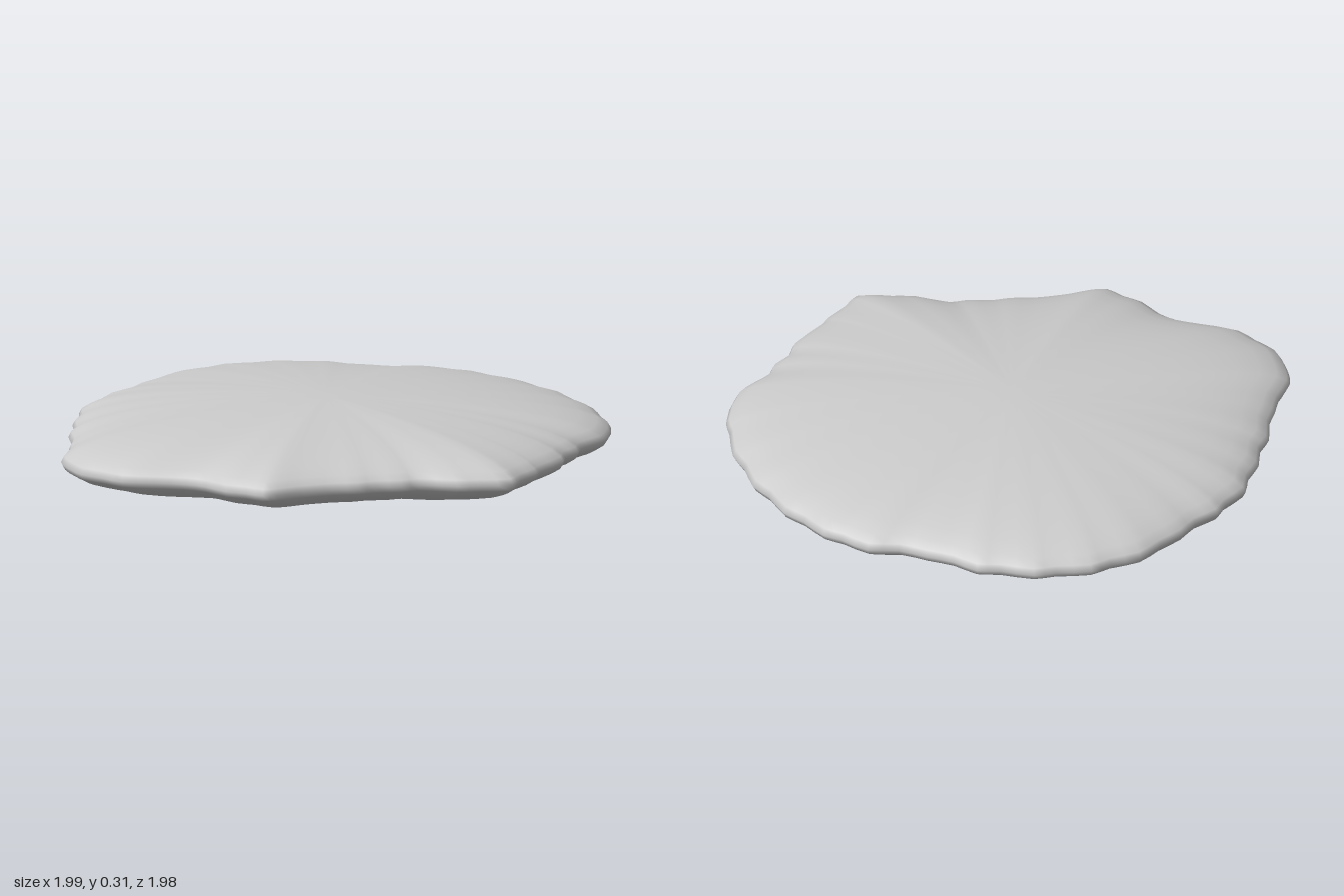
import * as THREE from 'three';

// Scalloped rim as x, z pairs, from the front tip round by +x
const RIM = [
  -0.05, 0.985, 0, 0.96, 0.06, 0.91, 0.12, 0.87, 0.19, 0.83, 0.27, 0.8, 0.33, 0.76, 0.42, 0.73,
  0.48, 0.69, 0.62, 0.685, 0.71, 0.655, 0.815, 0.62, 0.83, 0.54, 0.865, 0.44, 0.87, 0.39, 0.92, 0.23,
  0.91, 0.15, 0.94, 0.07, 0.935, 0, 0.97, -0.08, 0.997, -0.16, 0.97, -0.35, 0.93, -0.42, 0.87, -0.55,
  0.8, -0.62, 0.73, -0.72, 0.65, -0.77, 0.56, -0.855, 0.47, -0.89, 0.37, -0.95, 0.29, -0.96, 0.18, -0.99,
  0.07, -0.955, -0.04, -0.96, -0.15, -0.96, -0.25, -0.985, -0.33, -0.96, -0.46, -0.945, -0.53, -0.9,
  -0.65, -0.845, -0.7, -0.78, -0.79, -0.7, -0.83, -0.6, -0.88, -0.5, -0.9, -0.41, -0.955, -0.32,
  -0.96, -0.25, -0.997, -0.14, -0.975, -0.05, -0.98, 0.05, -0.95, 0.15, -0.955, 0.23, -0.92, 0.33,
  -0.91, 0.42, -0.895, 0.5, -0.895, 0.62, -0.87, 0.68, -0.83, 0.74, -0.78, 0.8, -0.69, 0.84,
  -0.61, 0.88, -0.49, 0.875, -0.37, 0.87, -0.29, 0.89, -0.2, 0.945, -0.12, 0.96,
];
const CENTRE_X = -0.03;
const HALF_HEIGHT = 0.155;
const RINGS = 20; // steps from top pole to bottom pole

function shellGeometry() {
  const points = [];
  for (let i = 0; i < RIM.length; i += 2) points.push(new THREE.Vector3(RIM[i], 0, RIM[i + 1]));
  const curve = new THREE.CatmullRomCurve3(points, true);
  const n = points.length * 2;
  const rim = curve.getPoints(n).slice(0, n);

  // Top pole, rings shrunk from the rim along a lens profile, bottom pole
  const positions = [CENTRE_X, 2 * HALF_HEIGHT, 0];
  for (let j = 1; j < RINGS; j++) {
    const a = (j / RINGS) * Math.PI;
    const t = Math.sin(a);
    const lift = 0.93 * Math.cos(a) + 0.07 * Math.sign(RINGS / 2 - j) * (1 - t);
    for (const p of rim) {
      positions.push(CENTRE_X + (p.x - CENTRE_X) * t, HALF_HEIGHT * (1 + lift), p.z * t);
    }
  }
  positions.push(CENTRE_X, 0, 0);

  const last = positions.length / 3 - 1;
  const at = (ring, i) => 1 + (ring - 1) * n + (i % n);
  const index = [];
  for (let i = 0; i < n; i++) {
    index.push(0, at(1, i), at(1, i + 1));
    for (let j = 1; j < RINGS - 1; j++) {
      const a = at(j, i), b = at(j + 1, i), c = at(j + 1, i + 1), d = at(j, i + 1);
      index.push(a, b, c, a, c, d);
    }
    index.push(at(RINGS - 1, i), last, at(RINGS - 1, i + 1));
  }

  const geometry = new THREE.BufferGeometry();
  geometry.setAttribute('position', new THREE.Float32BufferAttribute(positions, 3));
  geometry.setIndex(index);
  geometry.computeVertexNormals();
  return geometry;
}

export function createModel() {
  const group = new THREE.Group();
  group.name = 'scallopShell';
  const shell = new THREE.Mesh(shellGeometry(), new THREE.MeshStandardMaterial({ color: 0xcccccc }));
  shell.name = 'ribbedShell';
  group.add(shell);
  return group;
}
